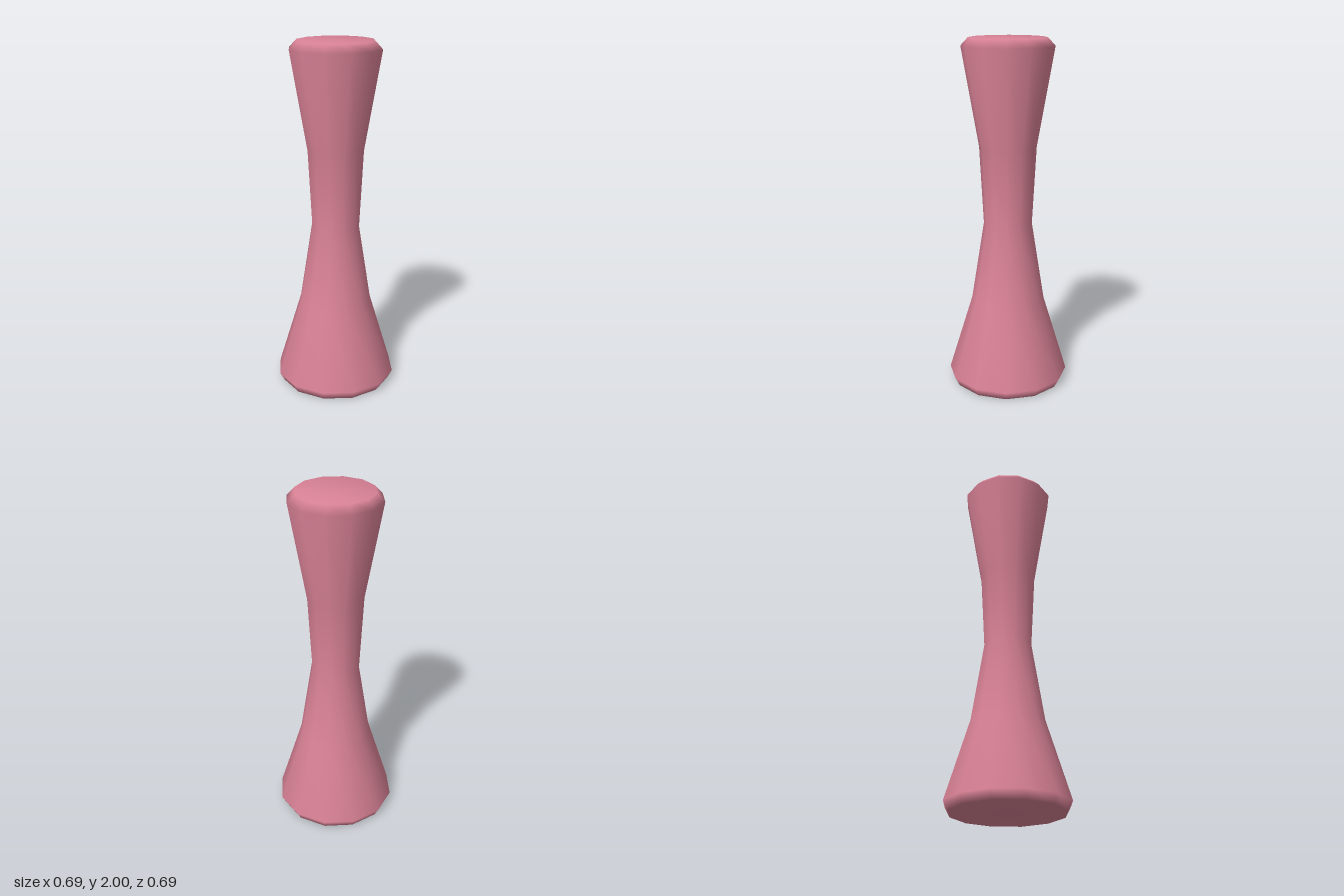
import * as THREE from 'three';
import { mergeVertices } from 'three/addons/utils/BufferGeometryUtils.js';

export function createModel() {
  const group = new THREE.Group();
  group.name = 'waistedPost';

  const pink = new THREE.MeshStandardMaterial({ color: 0xd98296 });
  pink.name = 'rose pink';

  // Profile from the base centre up to the top centre: [radius, height]
  const profile = [
    [0, 0], [0.32, 0], [0.347, 0.05],      // bevelled foot
    [0.21, 0.5], [0.138, 0.955],           // flare narrowing to the waist
    [0.162, 1.4], [0.259, 1.955],          // flare widening to the head
    [0.217, 2], [0, 2],                    // bevelled top
  ].map(([r, y]) => new THREE.Vector2(r, y));

  // Twelve-sided body, welded so the shading flows over the bevels
  const lathe = new THREE.LatheGeometry(profile, 12);
  lathe.deleteAttribute('uv');
  lathe.deleteAttribute('normal');
  const geometry = mergeVertices(lathe, 1e-4);
  geometry.computeVertexNormals();

  const body = new THREE.Mesh(geometry, pink);
  body.name = 'body';
  group.add(body);
  return group;
}
